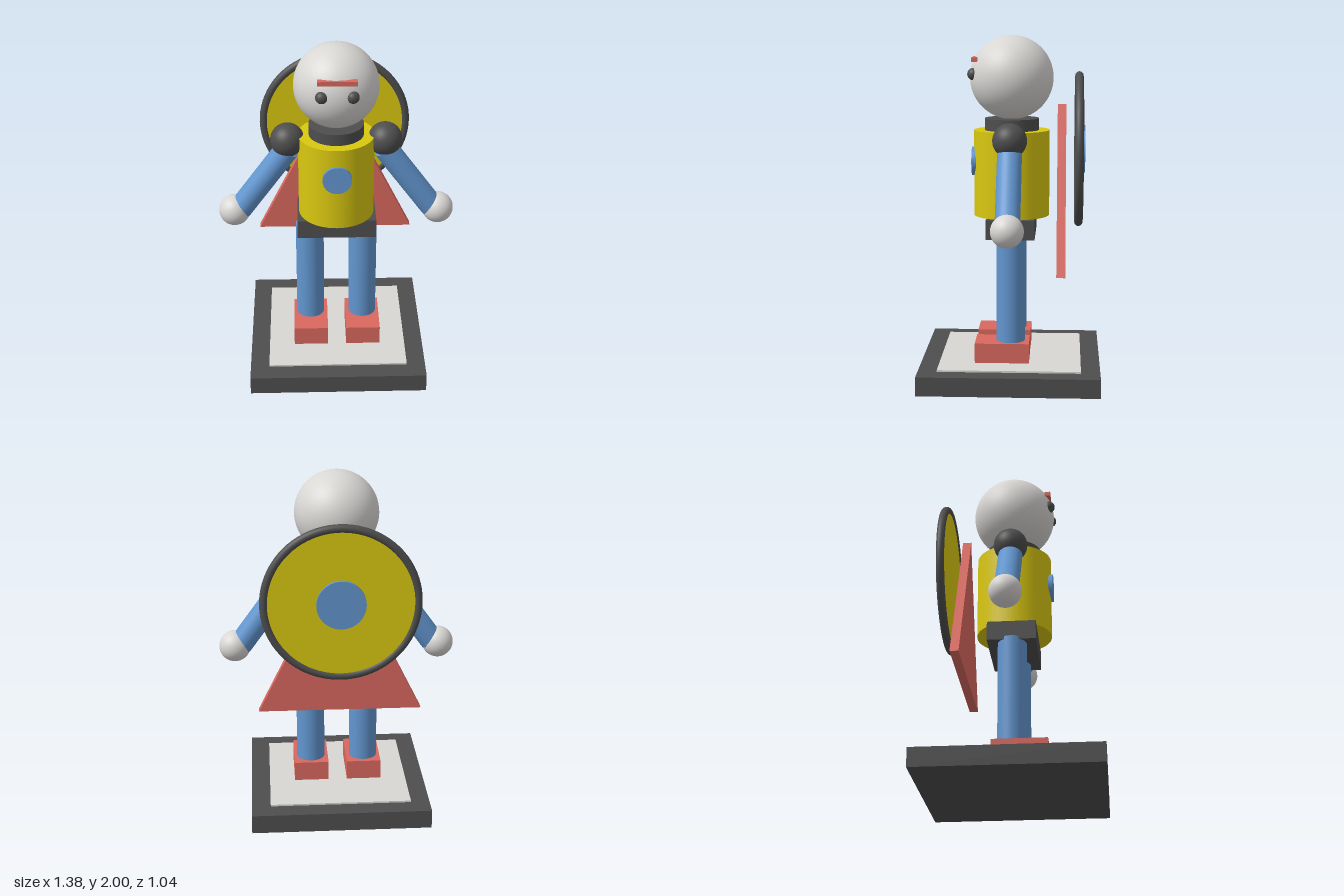
import * as THREE from 'three';

const mat = (name, color) => {
  const m = new THREE.MeshStandardMaterial({ color });
  m.name = name;
  return m;
};

export function createModel() {
  const model = new THREE.Group();
  model.name = 'figure';
  const dark = mat('charcoal', 0x4e4e4e);
  const light = mat('pale grey', 0xd9d7d4);
  const yellow = mat('yellow', 0xdac810);
  const blue = mat('blue', 0x6296d0);
  const red = mat('red', 0xd9685f);

  const add = (name, geometry, material, x = 0, y = 0, z = 0) => {
    const mesh = new THREE.Mesh(geometry, material);
    mesh.name = name;
    mesh.position.set(x, y, z);
    model.add(mesh);
    return mesh;
  };
  const box = (w, h, d) => new THREE.BoxGeometry(w, h, d);
  const ball = (r) => new THREE.SphereGeometry(r, 48, 32);
  const rod = (r, h) => new THREE.CylinderGeometry(r, r, h, 48);
  // disc whose flat faces point along z
  const disc = (r, depth) => rod(r, depth).rotateX(Math.PI / 2);

  // Display stand
  add('base', box(1.04, 0.11, 1.04), dark, 0, 0.055, 0);
  add('basePlate', box(0.82, 0.01, 0.82), light, 0, 0.115, 0);

  // Body
  add('hips', box(0.46, 0.113, 0.28), dark, 0, 0.898, 0);
  add('torso', rod(0.22, 0.5), yellow, 0, 1.204, 0);
  add('chestDisc', disc(0.083, 0.03), blue, 0, 1.27, 0.217);
  add('neck', rod(0.158, 0.07), dark, 0, 1.487, 0);

  // Head and face
  add('head', ball(0.242), light, 0, 1.758, 0);
  add('brow', box(0.22, 0.026, 0.036), red, 0, 1.863, 0.209);

  // Paired parts
  for (const [side, s] of [['left', 1], ['right', -1]]) {
    add(side + 'Eye', ball(0.035), dark, s * 0.086, 1.78, 0.217);
    add(side + 'Foot', box(0.204, 0.115, 0.314), red, s * 0.157, 0.178, 0.047);
    add(side + 'Leg', rod(0.083, 0.63), blue, s * 0.158, 0.545, 0);
    add(side + 'Shoulder', ball(0.098), dark, s * 0.28, 1.418, 0);
    add(side + 'Hand', ball(0.092), light, s * 0.598, 0.96, 0);

    // Arm slants outward from shoulder to hand
    const top = new THREE.Vector3(s * 0.28, 1.36, 0);
    const end = new THREE.Vector3(s * 0.565, 0.968, 0);
    const dir = top.clone().sub(end);
    const arm = add(side + 'Arm', rod(0.07, dir.length()), blue);
    arm.position.copy(top).add(end).multiplyScalar(0.5);
    arm.quaternion.setFromUnitVectors(new THREE.Vector3(0, 1, 0), dir.normalize());
  }

  // Triangular cape
  const capeShape = new THREE.Shape([
    new THREE.Vector2(-0.464, 0.675),
    new THREE.Vector2(0.464, 0.675),
    new THREE.Vector2(0, 1.605),
  ]);
  const cape = new THREE.ExtrudeGeometry(capeShape, { depth: 0.05, bevelEnabled: false });
  add('cape', cape, red, 0, 0, -0.317);

  // Round shield on the back
  add('shieldPlate', disc(0.426, 0.03), yellow, 0, 1.343, -0.391);
  add('shieldRim', new THREE.TorusGeometry(0.426, 0.024, 20, 80), dark, 0, 1.343, -0.391);
  add('shieldBoss', disc(0.138, 0.03), blue, 0, 1.343, -0.412);

  return model;
}
